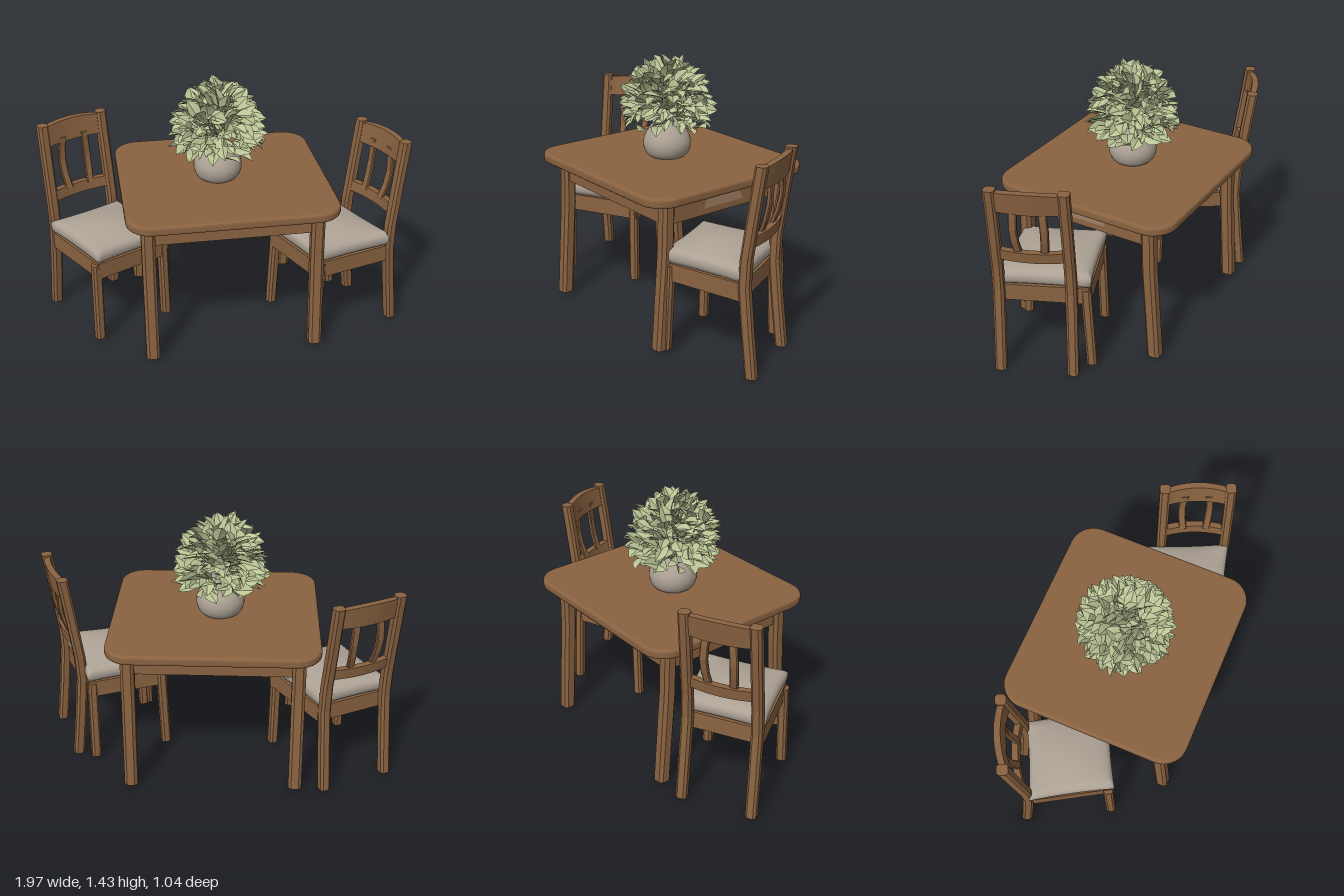
import * as THREE from 'three';
import { mergeVertices, mergeGeometries } from 'three/addons/utils/BufferGeometryUtils.js';

const wood = new THREE.MeshStandardMaterial({ color: 0x8a6341 });
wood.name = 'brown wood';
const paleWood = new THREE.MeshStandardMaterial({ color: 0xa08064 });
paleWood.name = 'pale worn wood';
const fabric = new THREE.MeshStandardMaterial({ color: 0xada295, side: THREE.DoubleSide });
fabric.name = 'beige fabric';
const ceramic = new THREE.MeshStandardMaterial({ color: 0xada295, side: THREE.DoubleSide });
ceramic.name = 'beige ceramic';
const leafGreen = new THREE.MeshStandardMaterial({ color: 0xbac495, side: THREE.DoubleSide });
leafGreen.name = 'pale leaf green';

let seed = 7;
const rand = () => (seed = (seed * 16807) % 2147483647) / 2147483647;

function add(parent, name, geometry, material) {
  const m = new THREE.Mesh(geometry, material);
  m.name = name;
  parent.add(m);
  return m;
}

// Chamfered upright post through [x, y, z] points, bottom to top, with flat faces
function post(points, w, d) {
  const a = w / 2, b = d / 2, c = Math.min(w, d) * 0.22;
  const ring = [[a, -b + c], [a, b - c], [a - c, b], [-a + c, b], [-a, b - c], [-a, -b + c], [-a + c, -b], [a - c, -b]];
  const pos = [];
  const at = (i, j) => {
    const [x, y, z] = points[i], [dx, dz] = ring[j % 8];
    return [x + dx, y, z + dz];
  };
  const last = points.length - 1;
  for (let j = 0; j < 8; j++) {
    for (let i = 0; i < last; i++) {
      pos.push(...at(i, j), ...at(i + 1, j), ...at(i, j + 1));
      pos.push(...at(i, j + 1), ...at(i + 1, j), ...at(i + 1, j + 1));
    }
    pos.push(...points[last], ...at(last, j + 1), ...at(last, j));
    pos.push(...points[0], ...at(0, j), ...at(0, j + 1));
  }
  const g = new THREE.BufferGeometry();
  g.setAttribute('position', new THREE.Float32BufferAttribute(pos, 3));
  g.computeVertexNormals();
  return g;
}

// Moves every vertex of a geometry by a rule
function reshape(g, rule) {
  const p = g.attributes.position, v = new THREE.Vector3();
  for (let i = 0; i < p.count; i++) {
    rule(v.fromBufferAttribute(p, i));
    p.setXYZ(i, v.x, v.y, v.z);
  }
  g.computeVertexNormals();
  return g;
}

function makeTable() {
  const table = new THREE.Group();
  table.name = 'table';
  const bevel = 0.015, w = 0.56 - bevel, d = 0.52 - bevel, r = 0.12;
  const s = new THREE.Shape();
  s.absarc(w - r, d - r, r, 0, Math.PI / 2);
  s.absarc(-w + r, d - r, r, Math.PI / 2, Math.PI);
  s.absarc(-w + r, -d + r, r, Math.PI, Math.PI * 1.5);
  s.absarc(w - r, -d + r, r, Math.PI * 1.5, Math.PI * 2);
  const top = new THREE.ExtrudeGeometry(s, {
    depth: 0.022, bevelSize: bevel, bevelThickness: bevel, bevelSegments: 3, curveSegments: 8,
  });
  top.rotateX(-Math.PI / 2).translate(0, 0.815 + bevel, 0);
  add(table, 'tableTop', top, wood);
  for (const k of [-1, 1]) {
    add(table, 'longApron', new THREE.BoxGeometry(0.84, 0.13, 0.03).translate(0, 0.755, k * 0.375), wood);
    add(table, 'sideApron', new THREE.BoxGeometry(0.03, 0.13, 0.72).translate(k * 0.445, 0.755, 0), wood);
    // legs flare gently towards the floor
    for (const x of [-0.448, 0.448]) {
      add(table, 'tableLeg', post([[x, 0.015, k * 0.42], [x, 0.3, k * 0.4], [x, 0.55, k * 0.382], [x, 0.82, k * 0.375]], 0.072, 0.072), wood);
    }
    // worn patch on a side apron
    const patch = new THREE.CircleGeometry(1, 24, 0, Math.PI).scale(0.13, 0.085, 1).rotateY(Math.PI / 2);
    add(table, 'wornPatch', patch.translate(k > 0 ? 0.462 : -0.428, 0.725, 0.01), paleWood);
  }
  return table;
}

// seat: corner points rear right, rear left, front left, front right as [x, z]
function makeChair(name, seat, legs, height) {
  const chair = new THREE.Group();
  chair.name = name;
  const path = [[0, -0.25], [0.25, -0.222], [0.48, -0.2], [0.62, -0.205], [0.85, -0.235], [height, -0.268]];
  const zAt = (y) => {
    let i = 1;
    while (i < path.length - 1 && path[i][0] < y) i++;
    const [y0, z0] = path[i - 1], [y1, z1] = path[i];
    return z0 + ((z1 - z0) * (y - y0)) / (y1 - y0);
  };
  for (const k of [-1, 1]) {
    add(chair, 'backPost', post(path.map(([y, z]) => [k * (0.193 - 0.012 * y), y, z]), 0.058, 0.058), wood);
    // bowed slats
    const slat = [0.72, 0.8, 0.88, 0.96, 1.02].map((y) => {
      const bow = Math.sin(((y - 0.72) / 0.3) * Math.PI);
      return [k * (0.066 + 0.012 * bow), y, zAt(y) - 0.022 * bow - 0.008];
    });
    add(chair, 'backSlat', post(slat, 0.042, 0.022), wood);
  }
  for (const [x, z, tx, tz] of legs) {
    add(chair, 'chairLeg', post([[x, 0.015, z], [tx, 0.48, tz]], 0.052, 0.052), wood);
  }
  // curved back rails
  const rail = (label, y, h, arch) => {
    const g = new THREE.BoxGeometry(0.33, h, 0.034, 10, 1, 1);
    reshape(g, (v) => {
      const b = 1 - (v.x / 0.165) ** 2;
      if (v.y > 0) v.y += arch * b;
      v.y += y;
      v.z += zAt(v.y) - 0.022 * b;
    });
    add(chair, label, g, wood);
  };
  rail('topRail', height - 0.067, 0.11, 0.012);
  rail('lowerRail', 0.705, 0.06, 0);

  // seat frame, set slightly inside the cushion outline
  const cx = seat.reduce((t, p) => t + p[0], 0) / 4, cz = seat.reduce((t, p) => t + p[1], 0) / 4;
  const inner = seat.map(([x, z]) => [cx + (x - cx) * 0.9, cz + (z - cz) * 0.9]);
  inner.forEach(([x, z], i) => {
    const [x2, z2] = inner[(i + 1) % 4];
    const g = new THREE.BoxGeometry(Math.hypot(x2 - x, z2 - z) + 0.02, 0.095, 0.032);
    g.rotateY(-Math.atan2(z2 - z, x2 - x)).translate((x + x2) / 2, 0.448, (z + z2) / 2);
    add(chair, 'seatRail', g, wood);
  });

  // puffy cushion filling the four corners
  let g = new THREE.BoxGeometry(2, 2, 2, 14, 6, 14);
  g.deleteAttribute('uv');
  g.deleteAttribute('normal');
  g = mergeVertices(g);
  reshape(g, (v) => {
    const t = v.y, puff = (1 - v.x ** 2) * (1 - v.z ** 2);
    const inset = 1 - 0.1 * t * t * Math.abs(t);
    // sides draw in between the corners
    const u = (v.x * inset * (1 - 0.035 * (1 - v.z ** 2)) + 1) / 2;
    const w = (v.z * inset * (1 - 0.035 * (1 - v.x ** 2)) + 1) / 2;
    const mix = (k) => (1 - w) * ((1 - u) * seat[0][k] + u * seat[1][k]) + w * ((1 - u) * seat[3][k] + u * seat[2][k]);
    v.set(mix(0), 0.535 + t * (0.04 + (t > 0 ? 0.032 * puff : 0.004)), mix(1));
  });
  add(chair, 'seatCushion', g, fabric);
  return chair;
}

function makeLeaf(length, width) {
  // folded, pointed blade along +y, curling outwards at the tip
  const rows = [[0, 0.15], [0.3, 0.85], [0.6, 1], [0.83, 0.6], [1, 0]];
  const g = new THREE.PlaneGeometry(2, 1, 2, 4);
  reshape(g, (v) => {
    const [t, w] = rows[Math.round((v.y + 0.5) * 4)], side = v.x;
    v.set((side * w * width) / 2, t * length, Math.abs(side) * w * width * 0.22 - 0.2 * length * t * t);
  });
  const flat = g.toNonIndexed();
  flat.computeVertexNormals();
  return flat;
}

function makePlant() {
  const plant = new THREE.Group();
  plant.name = 'pottedPlant';
  const profile = [[0, 0.862], [0.085, 0.862], [0.115, 0.885], [0.13, 0.93], [0.124, 0.975], [0.1, 1.02], [0.07, 1.06], [0.052, 1.1], [0.055, 1.125]];
  const curve = new THREE.SplineCurve(profile.slice(1).map(([x, y]) => new THREE.Vector2(x, y)));
  add(plant, 'vase', new THREE.LatheGeometry([new THREE.Vector2(0, 0.862), ...curve.getPoints(24)], 32), ceramic);

  // domed layers of leaves pointing away from the centre
  const leaves = [], up = new THREE.Vector3(0, 1, 0);
  for (const [count, radius, low] of [[170, 1, -0.3], [90, 0.78, -0.25], [45, 0.55, 0]]) {
    for (let i = 0; i < count; i++) {
      const e = low + (1 - low) * ((i + 0.5) / count), a = i * 2.39996;
      const h = Math.sqrt(1 - e * e);
      const dir = new THREE.Vector3(Math.cos(a) * h, e, Math.sin(a) * h);
      const len = 0.105 + rand() * 0.035;
      const leaf = makeLeaf(len, 0.06 + rand() * 0.02);
      leaf.rotateY((rand() - 0.5) * 2.2);
      const tilt = new THREE.Vector3(rand() - 0.5, rand() - 0.35, rand() - 0.5).multiplyScalar(0.9).add(dir).normalize();
      // turn the blade so its face looks upwards
      const right = new THREE.Vector3().crossVectors(tilt, up).normalize();
      const face = new THREE.Vector3().crossVectors(right, tilt);
      const m = new THREE.Matrix4().makeBasis(right, tilt, face);
      const base = dir.clone().multiply(new THREE.Vector3(0.255, 0.285, 0.25)).multiplyScalar(radius * (0.95 + rand() * 0.08));
      m.setPosition(base.addScaledVector(tilt, -len * 0.95).add(new THREE.Vector3(0, 1.14, 0)));
      leaves.push(leaf.applyMatrix4(m));
    }
  }
  add(plant, 'leaves', mergeGeometries(leaves), leafGreen);
  plant.position.x = -0.025;
  return plant;
}

export function createModel() {
  const model = new THREE.Group();
  model.name = 'diningSet';
  const leftChair = makeChair('leftChair',
    [[-0.285, -0.19], [0.215, -0.2], [0.155, 0.27], [-0.3, 0.275]],
    [[-0.285, 0.25, -0.275, 0.235], [0.15, 0.25, 0.135, 0.235], [-0.28, -0.17, -0.255, -0.16]], 1.095);
  leftChair.position.set(0.635, 0, 0.154);
  leftChair.rotation.y = -1.16;
  const rightChair = makeChair('rightChair',
    [[-0.22, -0.19], [0.22, -0.19], [0.285, 0.27], [-0.185, 0.275]],
    [[0.25, 0.248, 0.245, 0.24], [-0.185, 0.248, -0.175, 0.24]], 1.115);
  rightChair.position.set(-0.668, 0, -0.104);
  rightChair.rotation.y = 0.468;
  model.add(makeTable(), leftChair, rightChair, makePlant());
  return model;
}
